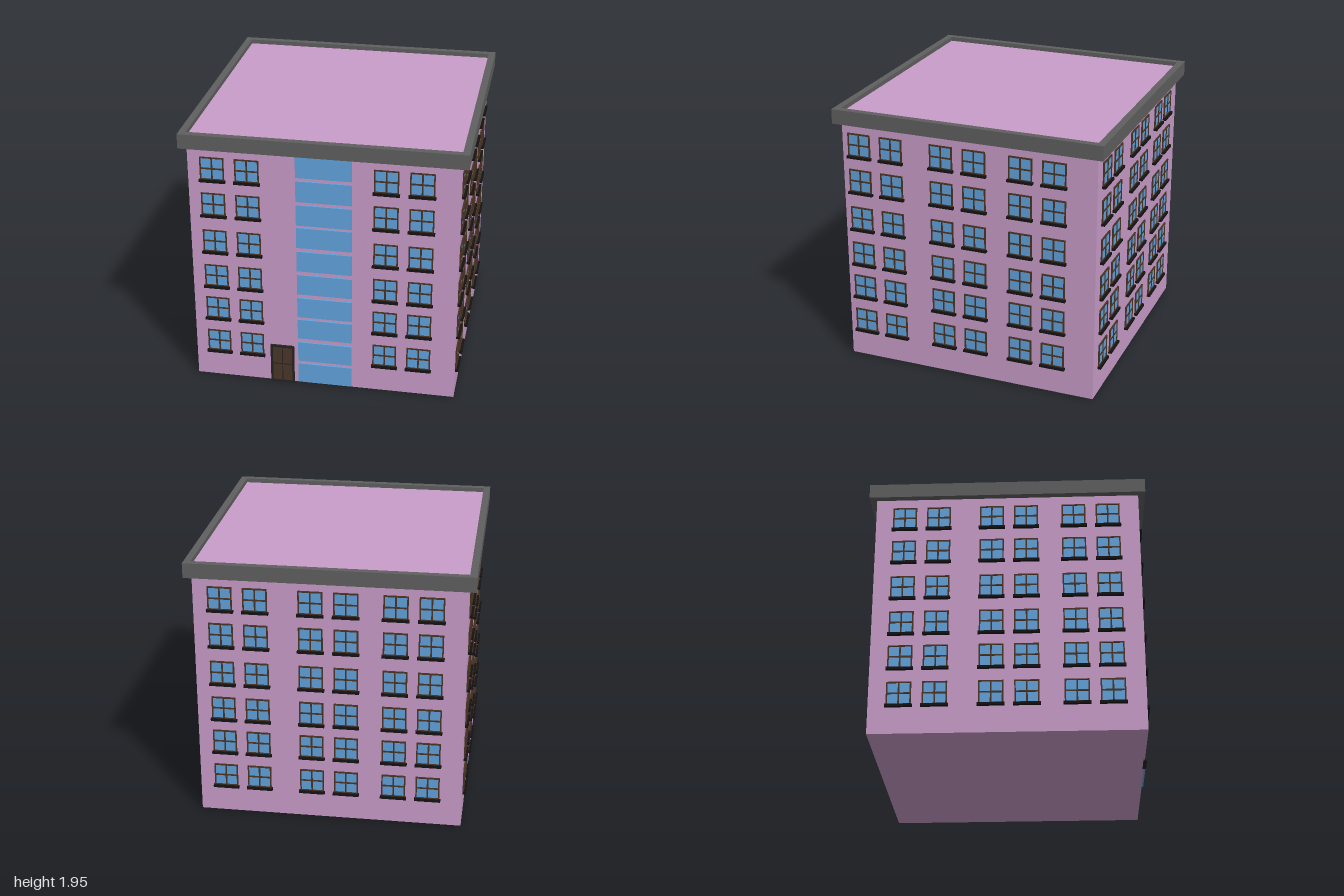
import * as THREE from 'three';

const mat = (color) => new THREE.MeshStandardMaterial({ color });
const wallMat = mat(0xc99dca), glassMat = mat(0x62a4de), frameMat = mat(0x4a3424);
const sillMat = mat(0x141212), corniceMat = mat(0x606060), doorMat = mat(0x4b3628), trimMat = mat(0x242222);

function part(name, geometry, material, x = 0, y = 0, z = 0) {
  const mesh = new THREE.Mesh(geometry, material);
  mesh.name = name;
  mesh.position.set(x, y, z);
  return mesh;
}

// Rectangle outline, usable as a shape or a hole
function rect(Type, cx, cy, w, h) {
  const p = new Type();
  p.moveTo(cx - w / 2, cy - h / 2);
  p.lineTo(cx + w / 2, cy - h / 2);
  p.lineTo(cx + w / 2, cy + h / 2);
  p.lineTo(cx - w / 2, cy + h / 2);
  p.closePath();
  return p;
}

// Plate with a grid of rectangular openings
function gridFrame(w, h, cols, rows, border, bar, depth) {
  const shape = rect(THREE.Shape, 0, 0, w, h);
  const cw = (w - 2 * border - (cols - 1) * bar) / cols;
  const ch = (h - 2 * border - (rows - 1) * bar) / rows;
  for (let i = 0; i < cols; i++) {
    for (let j = 0; j < rows; j++) {
      const cx = -w / 2 + border + cw / 2 + i * (cw + bar);
      const cy = -h / 2 + border + ch / 2 + j * (ch + bar);
      shape.holes.push(rect(THREE.Path, cx, cy, cw, ch));
    }
  }
  return new THREE.ExtrudeGeometry(shape, { depth, bevelEnabled: false });
}

const WALL = 0.95;
const SIZE = 0.172;
const frameGeo = gridFrame(SIZE, SIZE, 2, 2, 0.01, 0.011, 0.015);
const glassGeo = new THREE.BoxGeometry(SIZE - 0.01, SIZE - 0.01, 0.01);
const sillGeo = new THREE.BoxGeometry(0.188, 0.018, 0.03);

// Window with its top at local y = 0 and the wall surface at local z = 0
function makeWindow() {
  const g = new THREE.Group();
  g.name = 'window';
  g.add(part('windowFrame', frameGeo, frameMat, 0, -SIZE / 2, -0.005));
  g.add(part('windowGlass', glassGeo, glassMat, 0, -SIZE / 2, 0));
  g.add(part('windowSill', sillGeo, sillMat, 0, -SIZE - 0.006, 0.01));
  return g;
}

const ROW_TOPS = [0.388, 0.664, 0.929, 1.208, 1.497, 1.77];

// All windows of one wall; columns run left to right as seen from outside
function facade(name, columns, angle, offset = 0) {
  const g = new THREE.Group();
  g.name = name;
  for (const top of ROW_TOPS) {
    for (const u of columns) {
      const w = makeWindow();
      w.position.set(u, top, WALL + offset);
      g.add(w);
    }
  }
  g.rotation.y = angle;
  return g;
}

export function createModel() {
  const model = new THREE.Group();
  model.name = 'apartmentBlock';

  // Main block, its top forming the sunken roof
  const bottom = 0.008, roof = 1.915;
  model.add(part('walls', new THREE.BoxGeometry(2 * WALL, roof - bottom, 2 * WALL), wallMat, 0, (roof + bottom) / 2, 0));

  // Overhanging roof edge
  const ring = rect(THREE.Shape, 0, 0, 2, 2);
  ring.holes.push(rect(THREE.Path, 0, 0, 2 * WALL, 2 * WALL));
  const corniceGeo = new THREE.ExtrudeGeometry(ring, { depth: 0.107, bevelEnabled: false });
  corniceGeo.rotateX(-Math.PI / 2);
  model.add(part('cornice', corniceGeo, corniceMat, 0, 1.84, 0));

  // Windows
  const side = [-0.82, -0.574, -0.19, 0.057, 0.399, 0.645];
  model.add(facade('frontWindows', [-0.778, -0.532, 0.441, 0.687], 0, -0.004));
  model.add(facade('leftWindows', side, Math.PI / 2));
  model.add(facade('backWindows', side.map((u) => u + 0.06), Math.PI));
  model.add(facade('rightWindows', side.map((u) => u + 0.08), -Math.PI / 2));

  // Stairwell glazing
  const paneGeo = new THREE.BoxGeometry(0.393, 0.156, 0.02);
  const paneHeights = [0.094, 0.275, 0.465, 0.644, 0.832, 1.019, 1.206, 1.382, 1.564, 1.746];
  for (const y of paneHeights) model.add(part('stairwellPane', paneGeo, glassMat, 0.007, y, WALL + 0.003));

  // Entrance door: surround, four panels and dividing bars
  const door = new THREE.Group();
  door.name = 'door';
  door.add(part('doorFrame', gridFrame(0.174, 0.31, 1, 1, 0.015, 0, 0.025), trimMat, 0, 0, -0.01));
  door.add(part('doorLeaf', new THREE.BoxGeometry(0.15, 0.286, 0.016), doorMat));
  door.add(part('doorBars', gridFrame(0.146, 0.282, 2, 2, 0.002, 0.005, 0.012), trimMat));
  door.position.set(-0.308, 0.155, WALL);
  model.add(door);

  return model;
}
